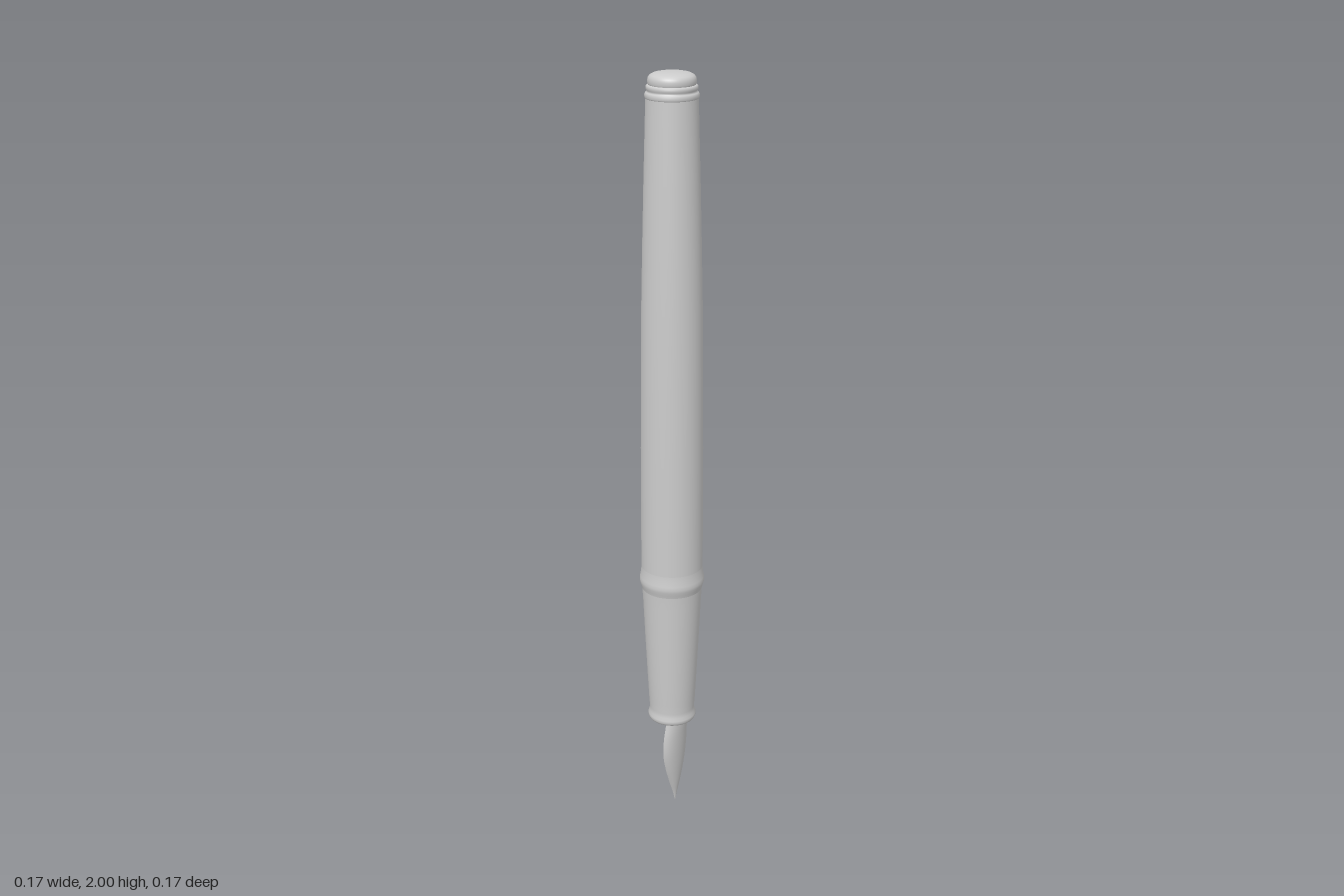
import * as THREE from 'three';

const material = new THREE.MeshStandardMaterial({ color: 0xcccccc, side: THREE.DoubleSide });

// Revolve [radius, height] points about the pen's axis, listed bottom to top
function turned(name, points) {
  const profile = points.map(([r, y]) => new THREE.Vector2(r, y));
  const mesh = new THREE.Mesh(new THREE.LatheGeometry(profile, 64), material);
  mesh.name = name;
  return mesh;
}

// Leaf-shaped sheet, arched across its width and bulging toward +x
function makeNib() {
  // [height, half width, edge x, crown x]
  const stations = [
    [0, 0.001, 0.009, 0.011], [0.025, 0.008, 0.008, 0.015], [0.06, 0.021, 0.006, 0.021],
    [0.11, 0.038, 0.004, 0.027], [0.16, 0.049, 0.003, 0.031], [0.21, 0.05, 0.005, 0.034],
    [0.25, 0.045, 0.008, 0.036], [0.3, 0.037, 0.011, 0.036],
  ];
  const curveOf = (i) => new THREE.CatmullRomCurve3(
    stations.map((s) => new THREE.Vector3(s[i], s[0], 0)));
  const [width, edge, crown] = [1, 2, 3].map(curveOf);
  const rows = 32, cols = 20;
  const geometry = new THREE.PlaneGeometry(1, 1, cols, rows);
  const pos = geometry.attributes.position;
  for (let j = 0; j <= rows; j++) {
    const t = j / rows;
    const w = width.getPoint(t), e = edge.getPoint(t), c = crown.getPoint(t);
    for (let i = 0; i <= cols; i++) {
      const a = Math.PI * (i / cols - 0.5);
      pos.setXYZ(j * (cols + 1) + i,
        e.x + (c.x - e.x) * Math.cos(a), (w.y + e.y + c.y) / 3, w.x * Math.sin(a));
    }
  }
  geometry.computeVertexNormals();
  const mesh = new THREE.Mesh(geometry, material);
  mesh.name = 'nib';
  return mesh;
}

export function createModel() {
  const pen = new THREE.Group();
  pen.name = 'fountainPen';

  // Grip with a rolled lip and a recessed end around the nib
  pen.add(turned('grip', [
    [0, 0.295], [0.05, 0.295], [0.05, 0.295], [0.052, 0.272], [0.056, 0.266], [0.061, 0.267],
    [0.064, 0.273], [0.064, 0.28], [0.061, 0.288], [0.06, 0.3], [0.062, 0.325],
    [0.066, 0.4], [0.072, 0.52], [0.0765, 0.62], [0.079, 0.658],
  ]));

  // Raised ring where grip meets barrel
  pen.add(turned('jointRing', [
    [0.079, 0.658], [0.081, 0.666], [0.084, 0.675], [0.085, 0.683], [0.084, 0.692],
    [0.0815, 0.705], [0.0805, 0.72],
  ]));

  // Long tapering barrel
  pen.add(turned('barrel', [
    [0.0805, 0.72], [0.0805, 0.85], [0.08, 1.05], [0.0785, 1.25], [0.0765, 1.42],
    [0.073, 1.58], [0.069, 1.74], [0.065, 1.88], [0.0635, 1.938],
  ]));

  // Two thin bands below the end cap
  pen.add(turned('endBands', [
    [0.0635, 1.938], [0.0655, 1.941], [0.0655, 1.948], [0.063, 1.952], [0.06, 1.953],
    [0.06, 1.957], [0.0625, 1.96], [0.0625, 1.966], [0.06, 1.969], [0.057, 1.97],
  ]));

  // Softly domed end cap
  pen.add(turned('endCap', [
    [0.057, 1.97], [0.0585, 1.974], [0.0585, 1.981], [0.057, 1.987], [0.053, 1.992],
    [0.045, 1.996], [0.03, 1.999], [0.015, 2], [0, 2],
  ]));

  pen.add(makeNib());
  return pen;
}
